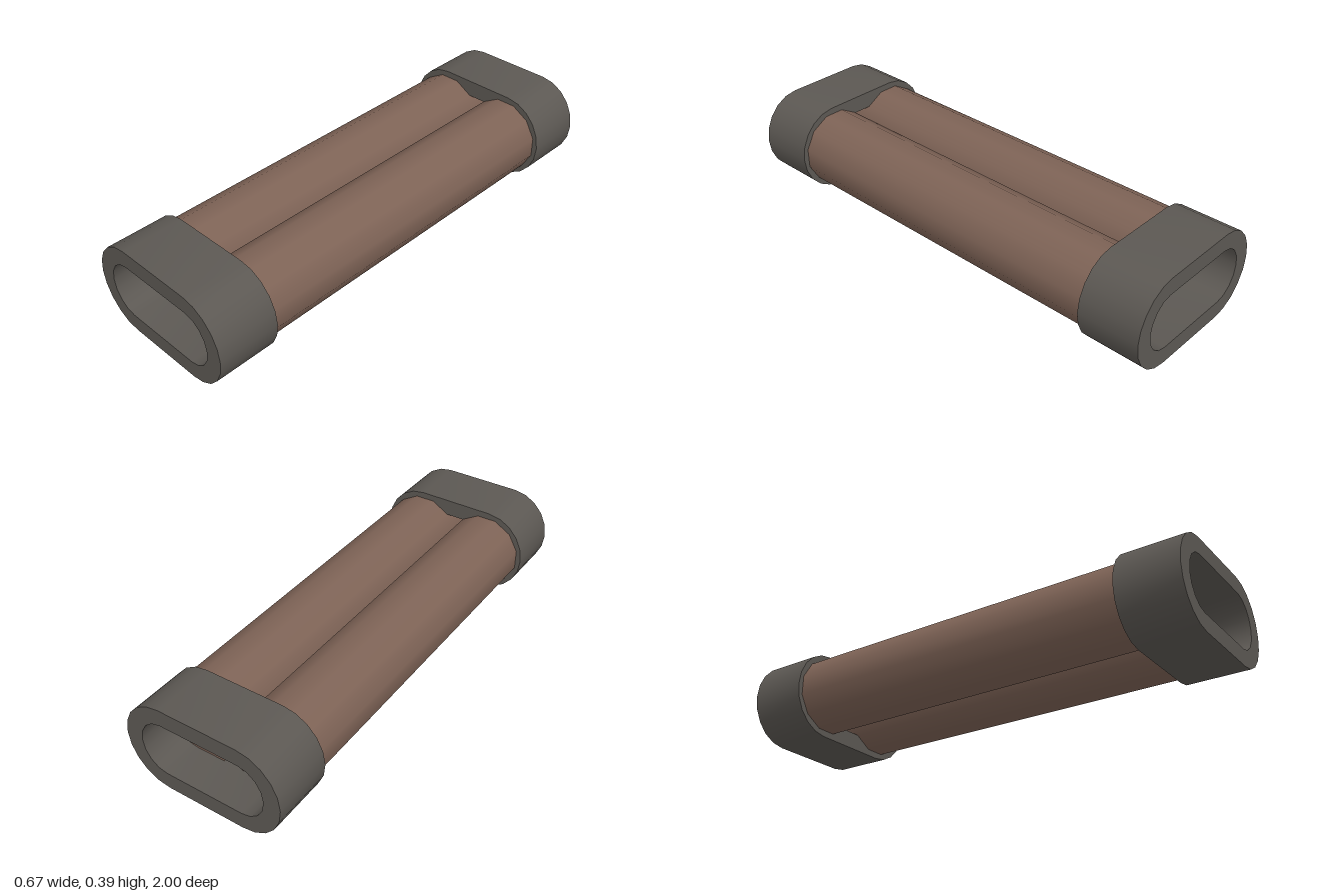
import * as THREE from 'three';
import { toCreasedNormals } from 'three/addons/utils/BufferGeometryUtils.js';

const MID_Y = 0.194;
const TILT = 0.009;

// Stadium outline: straight top and bottom, rounded ends
function stadium(straight, rx, ry, segments) {
  const points = [];
  for (const side of [1, -1]) {
    for (let i = 0; i <= segments; i++) {
      const a = -Math.PI / 2 + (Math.PI * i) / segments;
      points.push(new THREE.Vector2(side * (straight + rx * Math.cos(a)), side * ry * Math.sin(a)));
    }
  }
  return points;
}

export function createModel() {
  const darkGrey = new THREE.MeshStandardMaterial({ color: 0x5c5853 });
  darkGrey.name = 'darkGrey';
  const brown = new THREE.MeshStandardMaterial({ color: 0x7e6356 });
  brown.name = 'brown';

  const model = new THREE.Group();
  model.name = 'twinTube';
  const body = new THREE.Group();
  body.name = 'body';
  body.position.y = MID_Y;
  body.rotation.x = TILT; // the back sits slightly higher
  model.add(body);

  // Two twelve-sided tubes touching along a flat side
  const tubeGeometry = new THREE.CylinderGeometry(0.163, 0.163, 1.68, 12, 1, false, Math.PI / 12);
  tubeGeometry.rotateX(Math.PI / 2);

  // Ring-shaped end caps with a slot right through
  const outline = new THREE.Shape(stadium(0.167, 0.17, 0.185, 10));
  outline.holes.push(new THREE.Path(stadium(0.167, 0.1, 0.114, 8)));
  const capGeometry = toCreasedNormals(
    new THREE.ExtrudeGeometry(outline, { depth: 0.253, bevelEnabled: false }).translate(0, 0, -0.1265),
    0.7
  );

  for (const side of [1, -1]) {
    const tube = new THREE.Mesh(tubeGeometry, brown);
    tube.name = side > 0 ? 'leftTube' : 'rightTube';
    tube.position.x = side * 0.156;
    body.add(tube);

    const cap = new THREE.Mesh(capGeometry, darkGrey);
    cap.name = side > 0 ? 'frontCap' : 'backCap';
    cap.position.z = side * 0.872;
    body.add(cap);
  }
  return model;
}
